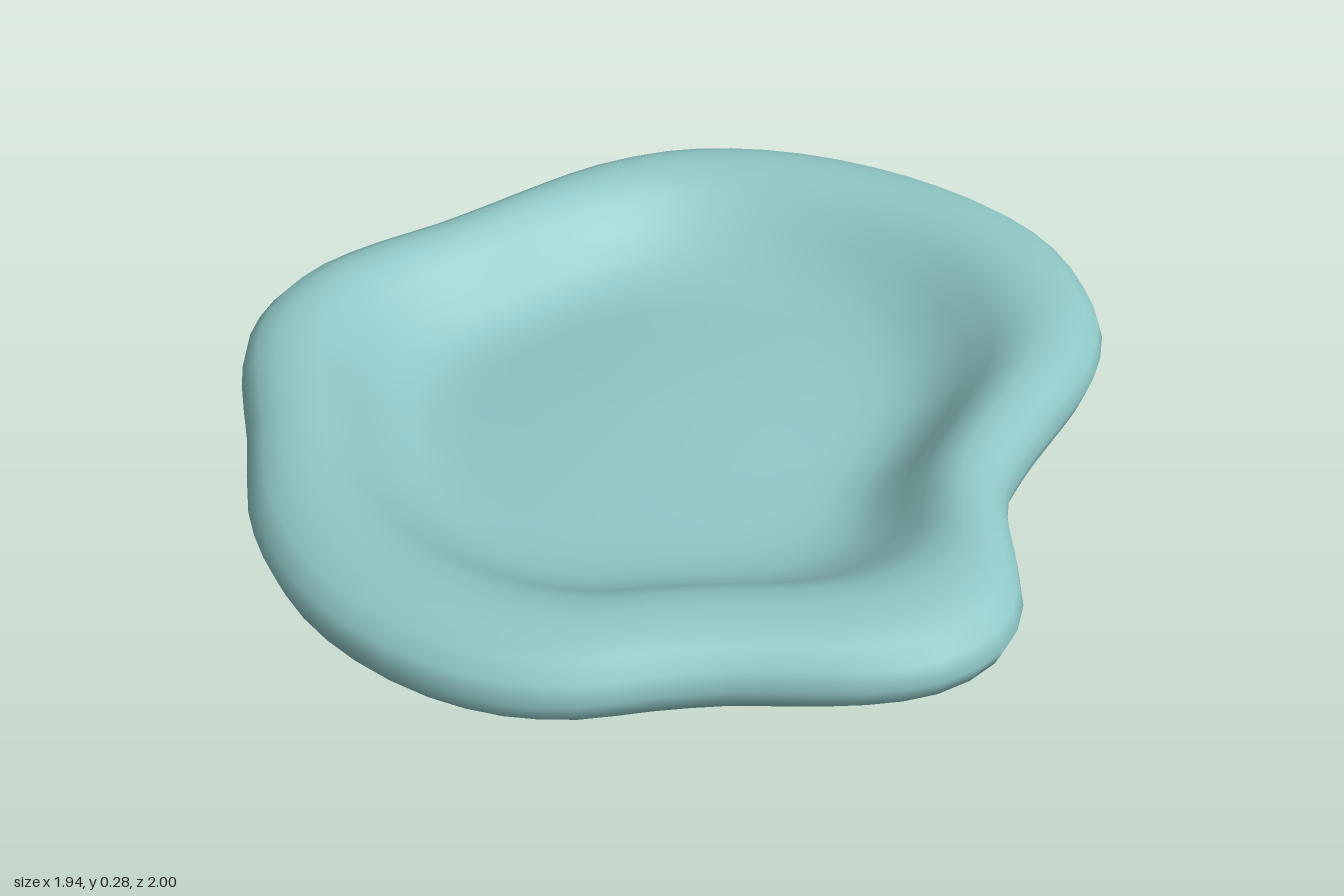
import * as THREE from 'three';

// irregular rim outline as [x, z], running clockwise seen from above
const OUTLINE = [
  [0.05, -1], [0.22, -1], [0.4, -0.955], [0.58, -0.865], [0.73, -0.75], [0.86, -0.605], [0.935, -0.45],
  [0.965, -0.27], [0.96, -0.12], [0.9, 0.04], [0.82, 0.16], [0.73, 0.28], [0.67, 0.37], [0.62, 0.46],
  [0.6, 0.56], [0.58, 0.78], [0.515, 0.905], [0.39, 0.98], [0.25, 0.997], [0.13, 0.987], [0, 0.972],
  [-0.15, 0.975], [-0.29, 0.987], [-0.43, 0.965], [-0.57, 0.9], [-0.71, 0.785], [-0.815, 0.65], [-0.885, 0.5],
  [-0.925, 0.35], [-0.945, 0.1], [-0.97, -0.1], [-0.97, -0.25], [-0.925, -0.39], [-0.835, -0.51],
  [-0.7, -0.6], [-0.56, -0.67], [-0.42, -0.76], [-0.29, -0.85], [-0.14, -0.94],
];

// sections as [scale of outline, height]: underside, then rounded rim and gently domed basin
const UNDERSIDE = [[0, 0], [0.25, 0.001], [0.5, 0.014], [0.7, 0.037], [0.85, 0.072], [0.94, 0.108], [0.985, 0.148]];
const TOPSIDE = [
  [1, 0.19], [0.987, 0.23], [0.955, 0.26], [0.91, 0.276], [0.86, 0.28], [0.81, 0.27], [0.76, 0.24],
  [0.71, 0.195], [0.65, 0.15], [0.59, 0.122], [0.52, 0.112], [0.44, 0.115], [0.3, 0.128], [0.15, 0.138], [0, 0.141],
];

function dishGeometry() {
  const path = new THREE.CatmullRomCurve3(OUTLINE.map(([x, z]) => new THREE.Vector3(x, 0, z)), true);
  const n = 78;
  const rim = path.getPoints(n).slice(0, n);
  const positions = [], index = [];

  // inner rings drift off centre and grow rounder
  const addRings = (section, driftX, driftZ) => section.forEach(([s, y]) => {
    const round = Math.min(1, 1.1 * (1 - s));
    for (const p of rim) {
      const k = s * (1 + round * (0.92 / Math.hypot(p.x, p.z) - 1));
      positions.push(p.x * k + driftX * (1 - s), y, p.z * k + driftZ * (1 - s));
    }
  });
  addRings(UNDERSIDE, -0.16, 0.14);
  addRings(TOPSIDE, -0.1, -0.03);

  // stitch the rings; the first and last rings are single points
  const last = UNDERSIDE.length + TOPSIDE.length - 2;
  for (let i = 0; i <= last; i++) {
    for (let j = 0; j < n; j++) {
      const a = i * n + j, b = i * n + (j + 1) % n;
      if (i > 0) index.push(a, a + n, b);
      if (i < last) index.push(a + n, b + n, b);
    }
  }
  const geometry = new THREE.BufferGeometry();
  geometry.setAttribute('position', new THREE.Float32BufferAttribute(positions, 3));
  geometry.setIndex(index);
  geometry.computeVertexNormals();
  return geometry;
}

export function createModel() {
  const group = new THREE.Group();
  group.name = 'shallowDish';
  const teal = new THREE.MeshStandardMaterial({ color: 0x8fc7c6 });
  teal.name = 'paleTeal';
  const dish = new THREE.Mesh(dishGeometry(), teal);
  dish.name = 'dish';
  group.add(dish);
  return group;
}
